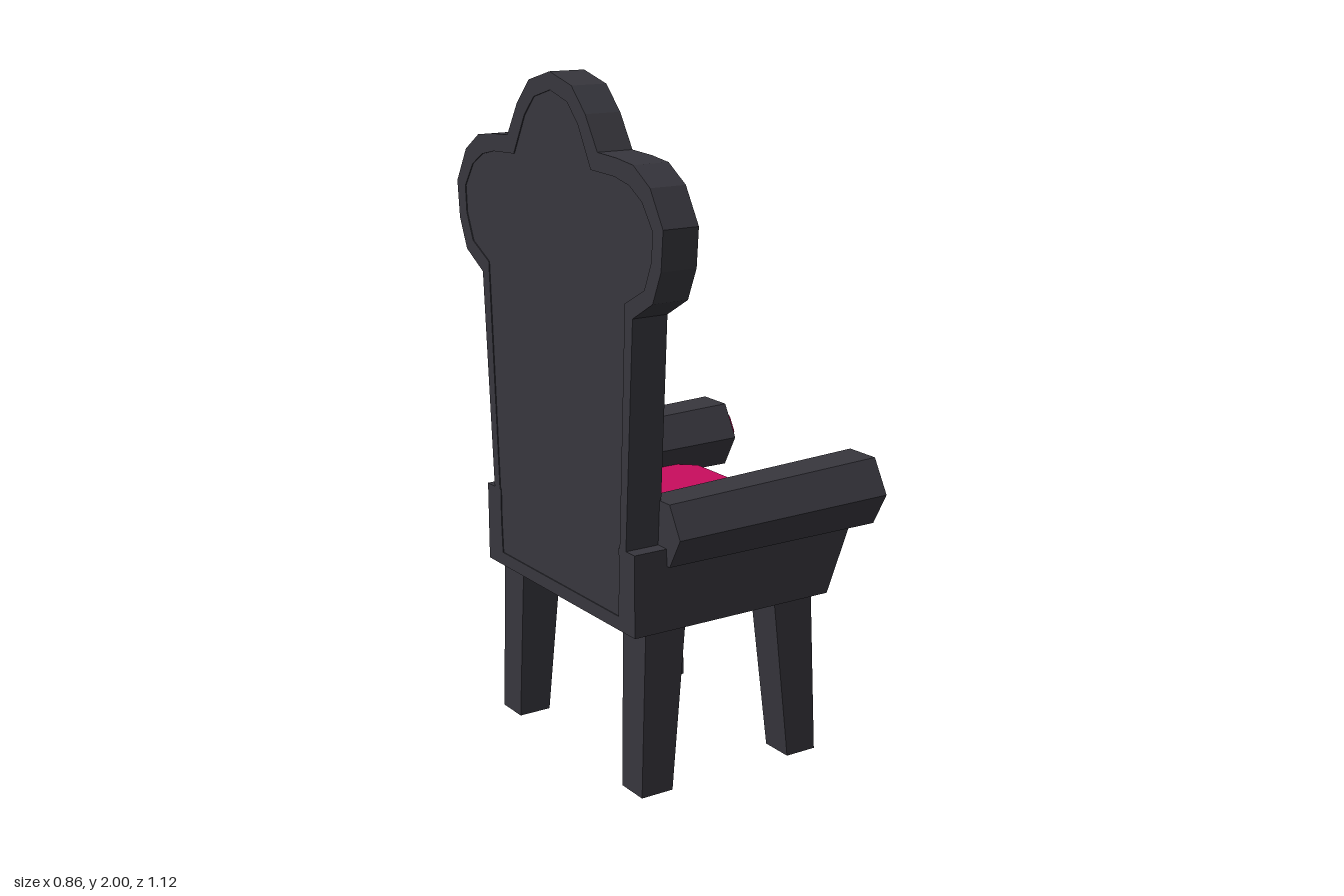
import * as THREE from 'three';

const mat = (name, color) => {
  const m = new THREE.MeshStandardMaterial({ color });
  m.name = name;
  return m;
};

// Faceted solid through rings of [x, y, z], each counter-clockwise about the direction of travel
function loft(rings) {
  const pos = [];
  const tri = (...pts) => pts.forEach(p => pos.push(...p));
  const n = rings[0].length;
  for (let r = 0; r < rings.length - 1; r++) {
    const a = rings[r], b = rings[r + 1];
    for (let i = 0; i < n; i++) {
      const j = (i + 1) % n;
      tri(a[i], a[j], b[j]);
      tri(a[i], b[j], b[i]);
    }
  }
  const first = rings[0], last = rings[rings.length - 1];
  for (let i = 1; i < n - 1; i++) {
    tri(first[0], first[i + 1], first[i]);
    tri(last[0], last[i], last[i + 1]);
  }
  const g = new THREE.BufferGeometry();
  g.setAttribute('position', new THREE.Float32BufferAttribute(pos, 3));
  g.computeVertexNormals();
  return g;
}

// Closed symmetric outline from its +side half, listed bottom to top centre
const mirrored = half => [
  ...half,
  ...half.slice(0, -1).reverse().map(([z, y]) => [-z, y]),
].map(([z, y]) => new THREE.Vector2(z, y));

// Extrude a (z, y) shape between two x positions
function extrudeX(shape, x0, x1) {
  const g = new THREE.ExtrudeGeometry(shape, { depth: x1 - x0, bevelEnabled: false });
  return g.rotateY(Math.PI / 2).translate(x0, 0, 0);
}

// Extrude an (x, y) profile between two z positions
function extrudeZ(profile, z0, z1) {
  const shape = new THREE.Shape(profile.map(p => new THREE.Vector2(...p)));
  return new THREE.ExtrudeGeometry(shape, { depth: z1 - z0, bevelEnabled: false }).translate(0, 0, z0);
}

// Hexagonal frustum pointing along +x
function hexX(r0, r1, x0, x1, y, z, pointUp) {
  const g = new THREE.CylinderGeometry(r1, r0, x1 - x0, 6).rotateZ(-Math.PI / 2);
  if (pointUp) g.rotateX(Math.PI / 6);
  return g.translate((x0 + x1) / 2, y, z);
}

export function createModel() {
  const dark = mat('charcoal frame', 0x37363d);
  const pink = mat('crimson upholstery', 0xc80d5e);
  const green = mat('emerald gem', 0x12b078);
  for (const m of [dark, pink, green]) m.flatShading = true;

  const root = new THREE.Group();
  root.name = 'throneChair';
  const add = (name, geometry, material) => {
    const mesh = new THREE.Mesh(geometry, material);
    mesh.name = name;
    root.add(mesh);
  };

  // Back: raised rim around a slightly recessed panel
  const outer = mirrored([
    [0.365, 0.49], [0.372, 0.73], [0.413, 1.385], [0.51, 1.44], [0.55, 1.53], [0.56, 1.64],
    [0.50, 1.74], [0.42, 1.79], [0.34, 1.80], [0.245, 1.805], [0.185, 1.90], [0.115, 1.97], [0, 2],
  ]);
  const inner = mirrored([
    [0.33, 0.53], [0.34, 0.73], [0.375, 1.42], [0.47, 1.47], [0.505, 1.55], [0.51, 1.63],
    [0.46, 1.70], [0.40, 1.735], [0.33, 1.75], [0.21, 1.755], [0.145, 1.87], [0.09, 1.925], [0, 1.95],
  ]);
  const rim = new THREE.Shape(outer);
  rim.holes.push(new THREE.Path(inner));
  add('backRim', extrudeX(rim, -0.43, -0.32), dark);
  add('backPanel', extrudeX(new THREE.Shape(inner), -0.427, -0.342), dark);

  // Tufted back cushions, tapering towards the seat
  const halfWidth = y => 0.285 + (y - 0.73) * 0.038;
  const rows = [[0.735, 1.012], [1.022, 1.284], [1.294, 1.57]];
  for (const [y0, y1] of rows) {
    for (let c = 0; c < 3; c++) {
      const ring = (x, inset) => {
        const at = (y, t, s) => [x, y, halfWidth(y) * (t * 2 / 3 - 1) + s * (inset + 0.004)];
        const lo = y0 + inset, hi = y1 - inset;
        return [at(lo, c, 1), at(hi, c, 1), at(hi, c + 1, -1), at(lo, c + 1, -1)];
      };
      add('backCushion', loft([ring(-0.345, 0), ring(-0.285, 0), ring(-0.26, 0.02)]), pink);
    }
  }

  // Seat frame: floor and two side boards with a raked front
  add('seatFloor', extrudeZ([[-0.42, 0.49], [0.235, 0.49], [0.26, 0.55], [-0.42, 0.55]], -0.4, 0.4), dark);
  const board = [[-0.43, 0.49], [0.235, 0.49], [0.32, 0.695], [-0.32, 0.695], [-0.32, 0.73], [-0.43, 0.73]];
  add('leftSideBoard', extrudeZ(board, 0.335, 0.415), dark);
  add('rightSideBoard', extrudeZ(board, -0.415, -0.335), dark);

  // Seat cushion with cut front corners and bevelled top edge
  const seatRing = (y, inset) => [
    [-0.335, -0.33], [0.335, -0.33], [0.335, 0.21 - inset], [0.26, 0.293 - inset],
    [-0.26, 0.293 - inset], [-0.335, 0.21 - inset],
  ].map(([z, x]) => [x, y, z]);
  add('seatCushion', loft([seatRing(0.55, 0), seatRing(0.68, 0), seatRing(0.715, 0.053)]), pink);

  // Armrests and their end knobs
  for (const s of [1, -1]) {
    const armRing = (x, y, r, apothem) => Array.from({ length: 6 }, (_, i) => {
      const a = i * Math.PI / 3;
      return [x, y - apothem * Math.sin(a) / Math.sin(Math.PI / 3) * -1, s * 0.378 - r * Math.cos(a)];
    });
    add('armrest', loft([armRing(-0.325, 0.77, 0.103, 0.09), armRing(0.388, 0.782, 0.114, 0.1)]), dark);
    add('armrestKnob', hexX(0.085, 0.085, 0.38, 0.4, 0.782, s * 0.378), pink);
    add('armrestKnobTip', hexX(0.085, 0.05, 0.4, 0.43, 0.782, s * 0.378), pink);

    // Side jewels on the back
    add('sideJewelMount', hexX(0.11, 0.108, -0.345, -0.3, 1.575, s * 0.418, true), pink);
    add('sideJewelBase', hexX(0.075, 0.075, -0.31, -0.285, 1.58, s * 0.418, true), green);
    add('sideJewel', hexX(0.075, 0.045, -0.285, -0.26, 1.58, s * 0.418, true), green);
  }

  // Crest jewel
  add('crestJewelMount', hexX(0.132, 0.13, -0.345, -0.29, 1.805, 0), pink);
  add('crestJewelBase', hexX(0.098, 0.098, -0.3, -0.272, 1.81, 0), green);
  add('crestJewel', hexX(0.098, 0.055, -0.272, -0.237, 1.81, 0), green);

  // Splayed tapering legs: x extents at foot and top
  const legs = { backLeg: [[-0.4, -0.297], [-0.385, -0.253]], frontLeg: [[0.11, 0.21], [0.055, 0.188]] };
  for (const [name, [foot, top]] of Object.entries(legs)) {
    for (const s of [1, -1]) {
      const ring = ([x0, x1], y, zIn) => {
        const z0 = Math.min(s * zIn, s * 0.4), z1 = Math.max(s * zIn, s * 0.4);
        return [[x0, y, z0], [x0, y, z1], [x1, y, z1], [x1, y, z0]];
      };
      add(name, loft([ring(foot, 0, 0.296), ring(top, 0.5, 0.283)]), dark);
    }
  }
  return root;
}
